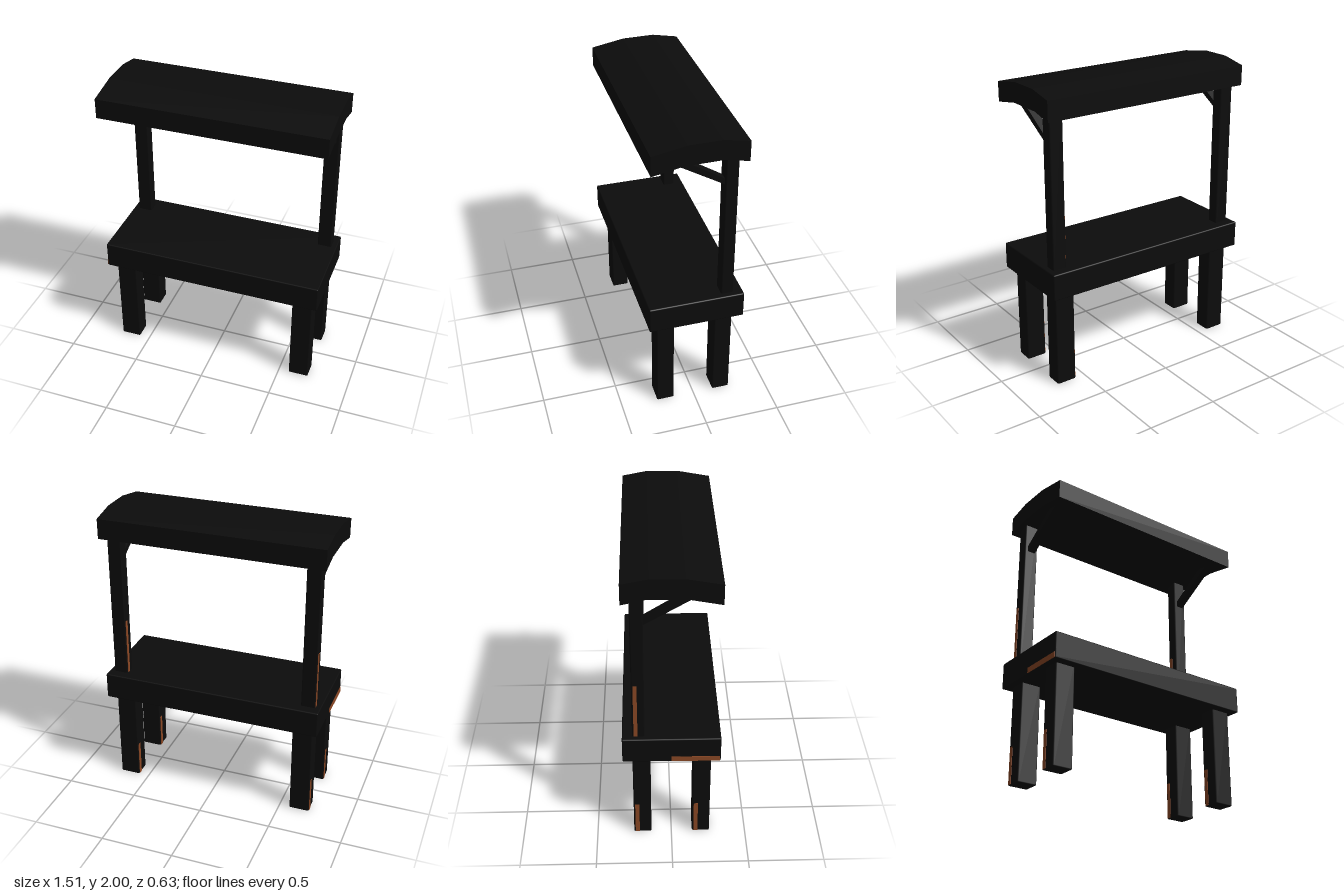
import * as THREE from 'three';
import { RoundedBoxGeometry } from 'three/addons/geometries/RoundedBoxGeometry.js';

export function createModel() {
  const stall = new THREE.Group();
  stall.name = 'marketStall';

  const darkWood = new THREE.MeshStandardMaterial({ color: 0x0c0c0c });
  darkWood.name = 'dark wood';
  const bareWood = new THREE.MeshStandardMaterial({ color: 0x8f4a26 });
  bareWood.name = 'bare wood';

  const add = (name, geometry, material = darkWood) => {
    const mesh = new THREE.Mesh(geometry, material);
    mesh.name = name;
    stall.add(mesh);
    return mesh;
  };

  // Softened beam given by its minimum and maximum corners
  const beam = (name, [x0, y0, z0], [x1, y1, z1]) =>
    add(name, new RoundedBoxGeometry(x1 - x0, y1 - y0, z1 - z0, 1, 0.008))
      .position.set((x0 + x1) / 2, (y0 + y1) / 2, (z0 + z1) / 2);

  // Thin worn strip lying on a face that looks towards -x
  const wornStrip = (name, x, y0, y1, z0, z1) =>
    add(name, new THREE.BoxGeometry(0.004, y1 - y0, z1 - z0), bareWood)
      .position.set(x - 0.001, (y0 + y1) / 2, (z0 + z1) / 2);

  // Side profile in (z, y), extruded along x
  const profile = (name, points, x0, x1) => {
    const shape = new THREE.Shape(points.map(([z, y]) => new THREE.Vector2(-z, y)));
    const geometry = new THREE.ExtrudeGeometry(shape, { depth: x1 - x0, bevelEnabled: false });
    geometry.rotateY(Math.PI / 2);
    geometry.translate(x0, 0, 0);
    return add(name, geometry);
  };

  // Counter top
  beam('counter', [-0.755, 0.66, -0.315], [0.755, 0.84, 0.315]);
  wornStrip('counterWornEdge', -0.755, 0.664, 0.7, 0, 0.31);

  for (const side of [-1, 1]) {
    const label = side > 0 ? 'left' : 'right';
    const span = (a, b) => (side > 0 ? [a, b] : [-b, -a]);

    // Front and back legs
    const [lx0, lx1] = span(0.572, 0.71);
    for (const [end, z0, z1] of [['Front', 0.14, 0.257], ['Back', -0.252, -0.135]]) {
      beam(`${label}${end}Leg`, [lx0, 0, z0], [lx1, 0.68, z1]);
      wornStrip(`${label}${end}LegWornEdge`, lx0, 0.004, 0.25, z0 + 0.01, z0 + 0.038);
    }

    // Post carrying the roof
    const [px0, px1] = span(0.622, 0.718);
    beam(`${label}Post`, [px0, 0.82, -0.25], [px1, 1.92, -0.17]);
    wornStrip(`${label}PostWornEdge`, px0, 0.842, 1.23, -0.24, -0.215);

    // Diagonal brace from post to roof
    const [bx0, bx1] = span(0.643, 0.697);
    profile(`${label}Brace`, [
      [0.185, 1.87], [-0.18, 1.653], [-0.18, 1.693], [0.1, 1.87],
    ], bx0, bx1);
  }

  // Bent roof slab
  profile('roof', [
    [0.3, 1.825], [0.1, 1.863], [-0.15, 1.866], [-0.3, 1.832],
    [-0.3, 1.967], [-0.13, 2.0], [0.08, 1.998], [0.3, 1.958],
  ], -0.755, 0.755);

  return stall;
}
